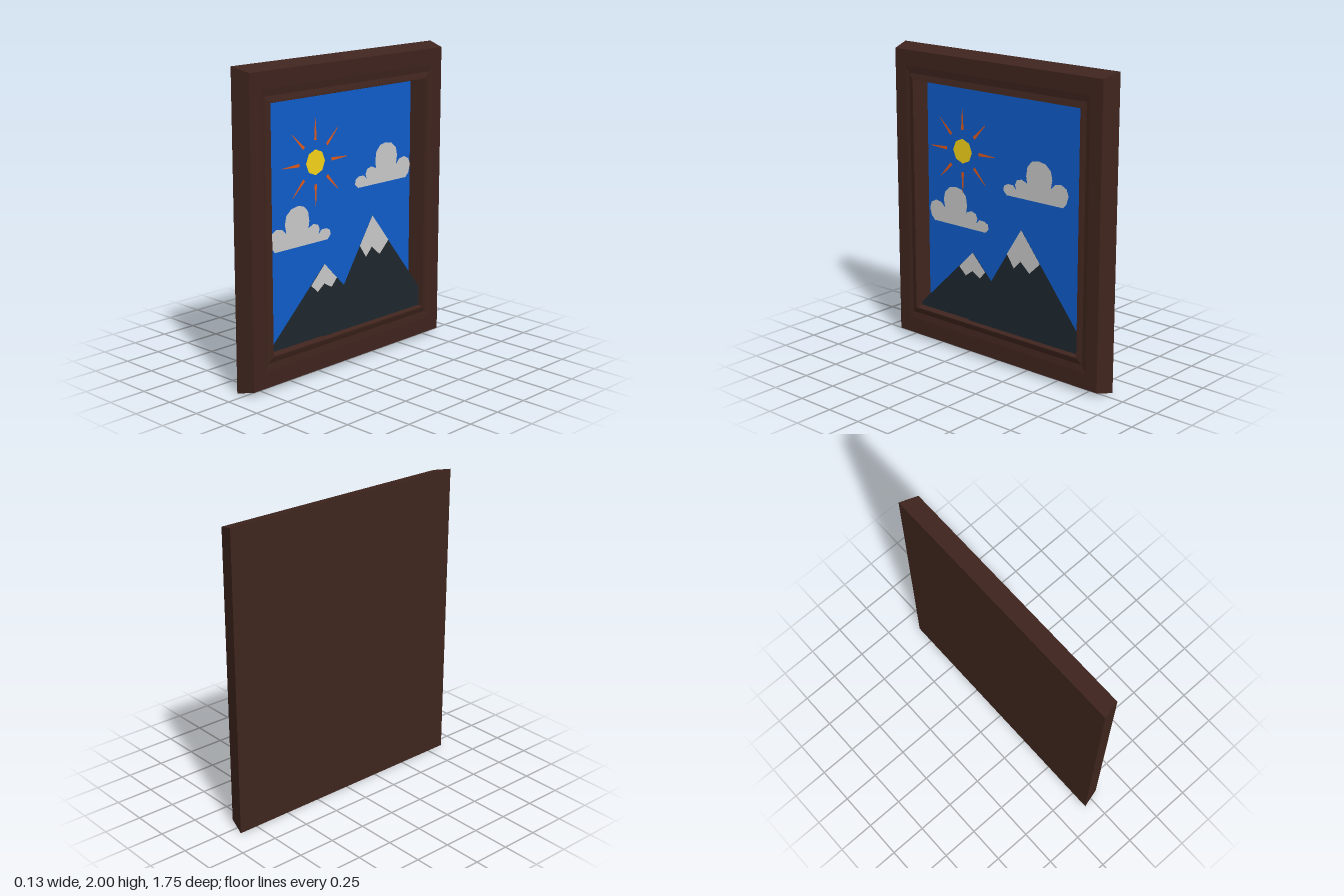
import * as THREE from 'three';

const material = (color) => new THREE.MeshStandardMaterial({ color, side: THREE.DoubleSide });
const wood = material(0x40251e);
wood.flatShading = true;
const blue = material(0x0f5ecc);
const white = material(0xcccccc);
const rock = material(0x1f282f);
const yellow = material(0xf8d51a);
const orange = material(0xe2591c);

// Moulding cross-section: half width, half height, depth
const MOULDING = [
  [0.875, 1, -0.065], [0.845, 0.97, 0.058], [0.755, 0.865, 0.058],
  [0.725, 0.82, 0.052], [0.7, 0.793, 0.06], [0.687, 0.78, 0.063], [0.66, 0.755, -0.045],
];

// Cloud outline, anticlockwise order not required
const CLOUD = [
  [-0.26, 0.027], [-0.255, 0.058], [-0.223, 0.074], [-0.18, 0.074], [-0.154, 0.048],
  [-0.164, 0.08], [-0.149, 0.111], [-0.111, 0.122], [-0.069, 0.106], [-0.064, 0.09],
  [-0.074, 0.149], [-0.064, 0.212], [-0.027, 0.249], [0.021, 0.26], [0.08, 0.249],
  [0.122, 0.212], [0.133, 0.159], [0.122, 0.101], [0.154, 0.133], [0.202, 0.143],
  [0.244, 0.122], [0.26, 0.08], [0.244, 0.027], [0.217, 0], [-0.233, 0],
];

// Mitred frame lofted through rectangular loops
function frameGeometry() {
  const corners = ([w, h, d]) => [[-w, -h, d], [w, -h, d], [w, h, d], [-w, h, d]];
  const positions = [];
  for (let i = 0; i < MOULDING.length - 1; i++) {
    const outer = corners(MOULDING[i]);
    const inner = corners(MOULDING[i + 1]);
    for (let k = 0; k < 4; k++) {
      const n = (k + 1) % 4;
      for (const p of [outer[k], outer[n], inner[n], outer[k], inner[n], inner[k]]) positions.push(...p);
    }
  }
  const geometry = new THREE.BufferGeometry();
  geometry.setAttribute('position', new THREE.Float32BufferAttribute(positions, 3));
  geometry.computeVertexNormals();
  return geometry;
}

export function createModel() {
  const model = new THREE.Group();
  model.name = 'framedPicture';

  // Built facing +z, then turned to face +x
  const picture = new THREE.Group();
  picture.name = 'picture';
  picture.rotation.y = Math.PI / 2;
  model.add(picture);

  const add = (name, geometry, mat, x, y, depth) => {
    const mesh = new THREE.Mesh(geometry, mat);
    mesh.name = name;
    mesh.position.set(x, y, depth);
    picture.add(mesh);
    return mesh;
  };
  const cutout = (name, points, mat, x, y, depth) => {
    const shape = new THREE.Shape(points.map(([px, py]) => new THREE.Vector2(px, py)));
    return add(name, new THREE.ShapeGeometry(shape), mat, x, y, depth);
  };

  // Frame, backing and sky
  add('frame', frameGeometry(), wood, 0, 1, 0);
  add('backPanel', new THREE.PlaneGeometry(1.75, 2), wood, 0, 1, -0.065).rotation.y = Math.PI;
  add('sky', new THREE.PlaneGeometry(1.32, 1.51), blue, 0, 1, -0.045);

  // Sun with eight tapering rays
  const sunX = -0.286, sunY = 1.363, sunDepth = 0.026;
  add('sun', new THREE.CircleGeometry(0.081, 8), yellow, sunX, sunY, sunDepth);
  const ray = [[0.138, -0.011], [0.275, -0.002], [0.275, 0.002], [0.138, 0.011]];
  for (let i = 0; i < 8; i++) {
    cutout('sunRay', ray, orange, sunX, sunY, sunDepth).rotation.z = (i * Math.PI) / 4;
  }

  // Two mirrored clouds at different depths
  cutout('rightCloud', CLOUD, white, 0.321, 1.14, 0.027);
  cutout('leftCloud', CLOUD.map(([x, y]) => [-x, y]), white, -0.369, 0.838, -0.023);

  // Mountains with zigzag snow caps
  cutout('smallMountain', [[-0.672, 0.23], [0.26, 0.23], [-0.207, 0.7], [-0.672, 0.255]], rock, 0, 0, 0.02);
  cutout('smallSnowCap', [
    [-0.207, 0.7], [-0.326, 0.582], [-0.268, 0.53], [-0.21, 0.573], [-0.146, 0.536], [-0.098, 0.588],
  ], white, 0, 0, 0.022);
  cutout('largeMountain', [[-0.238, 0.23], [0.677, 0.23], [0.677, 0.361], [0.215, 0.939]], rock, 0, 0, 0.033);
  cutout('largeSnowCap', [
    [0.215, 0.94], [0.098, 0.759], [0.156, 0.674], [0.21, 0.732], [0.284, 0.668], [0.369, 0.748],
  ], white, 0, 0, 0.035);

  return model;
}
